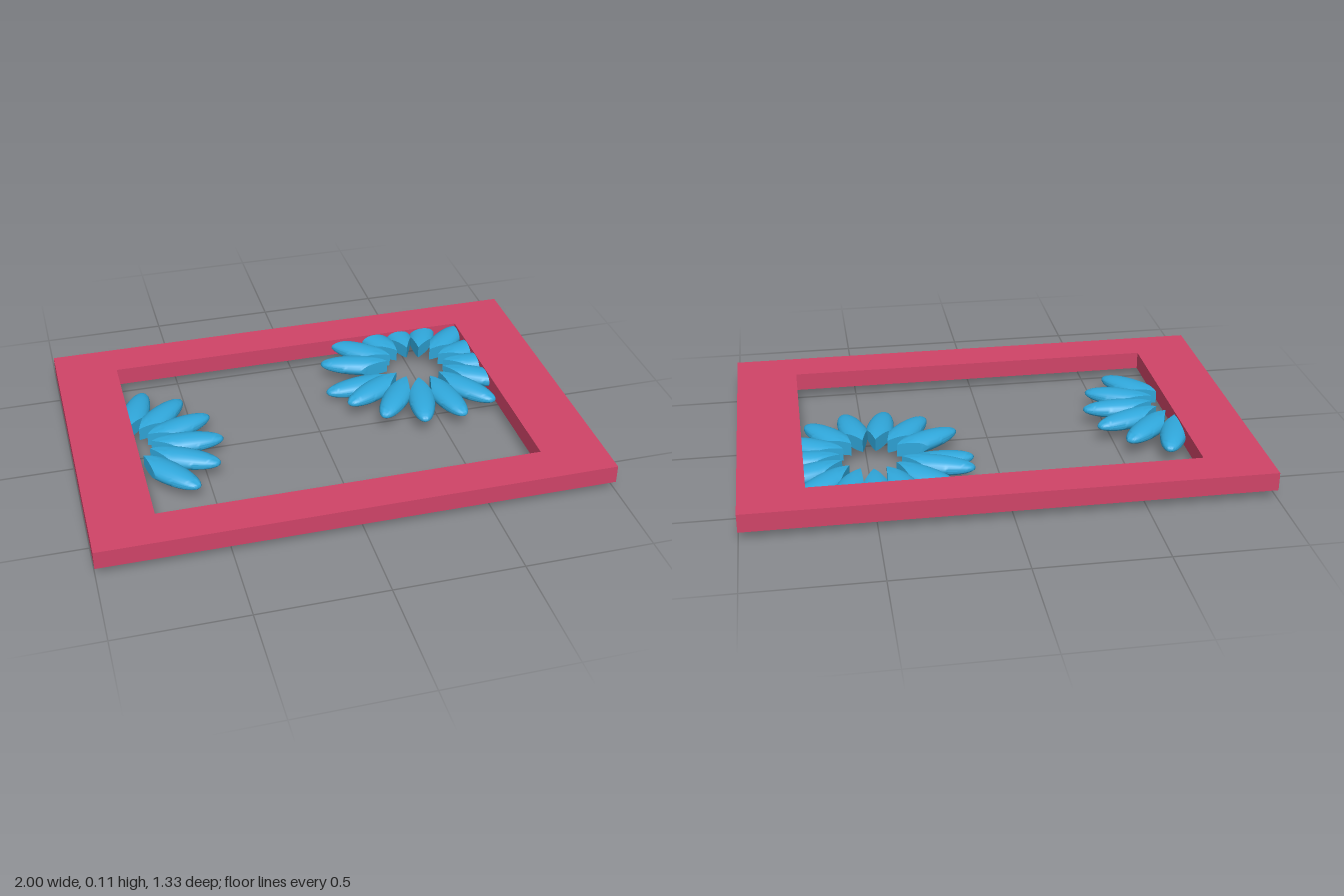
import * as THREE from 'three';
import { toCreasedNormals } from 'three/addons/utils/BufferGeometryUtils.js';

// Petal along +x: a flattened ellipsoid whose inner end is cut to a vertical wedge
function petalGeometry() {
  const inner = 0.12, outer = 0.405, mid = 0.235;
  const halfLength = outer - mid, halfWidth = 0.055, halfHeight = 0.035;
  const rings = 28, across = 10, count = 2 * (across + 1);
  const positions = [], indices = [];
  for (let i = 0; i <= rings; i++) {
    const r = inner + (outer - inner) * Math.sin((i / rings) * Math.PI / 2);
    const u = (r - mid) / halfLength;
    const round = Math.sqrt(Math.max(0, 1 - u * u));
    const width = Math.min(halfWidth * round, (r - inner) * 0.5);
    for (let j = 0; j < count; j++) {
      const top = j <= across;
      const k = top ? j : count - 1 - j;
      const z = -width * Math.cos((k / across) * Math.PI);
      const y = halfHeight * Math.sqrt(Math.max(0, round * round - (z / halfWidth) ** 2));
      positions.push(r, top ? y : -y, z);
    }
  }
  for (let i = 0; i < rings; i++) {
    for (let j = 0; j < count; j++) {
      const a = i * count + j, b = i * count + (j + 1) % count;
      indices.push(a, b, a + count, b, b + count, a + count);
    }
  }
  const geometry = new THREE.BufferGeometry();
  geometry.setAttribute('position', new THREE.Float32BufferAttribute(positions, 3));
  geometry.setIndex(indices);
  return toCreasedNormals(geometry, 0.7);
}

// Rectangular frame lying flat
function frameGeometry() {
  const shape = new THREE.Shape();
  shape.moveTo(-1, -0.665).lineTo(1, -0.665).lineTo(1, 0.665).lineTo(-1, 0.665).closePath();
  const hole = new THREE.Path();
  hole.moveTo(-0.753, -0.5).lineTo(-0.753, 0.503).lineTo(0.751, 0.503).lineTo(0.751, -0.5).closePath();
  shape.holes.push(hole);
  const geometry = new THREE.ExtrudeGeometry(shape, { depth: 0.073, bevelEnabled: false });
  geometry.rotateX(-Math.PI / 2);
  geometry.translate(0, 0.037, 0);
  return geometry;
}

export function createModel() {
  const model = new THREE.Group();
  const frameMaterial = new THREE.MeshStandardMaterial({ color: 0xd04468 });
  const petalMaterial = new THREE.MeshStandardMaterial({ color: 0x30a8dc, side: THREE.DoubleSide });

  const frame = new THREE.Mesh(frameGeometry(), frameMaterial);
  frame.name = 'frame';
  model.add(frame);

  // Flowers: petals every 24 degrees, one of them sitting lower than the rest
  const petal = petalGeometry();
  function addFlower(name, x, z, startAngle, petals, lowPetal, lowHeight) {
    const flower = new THREE.Group();
    flower.name = name;
    flower.position.set(x, 0, z);
    for (let i = 0; i < petals; i++) {
      const mesh = new THREE.Mesh(petal, petalMaterial);
      mesh.name = 'petal';
      mesh.position.y = i === lowPetal ? lowHeight : 0.074;
      mesh.rotation.y = -THREE.MathUtils.degToRad(startAngle + i * 24);
      flower.add(mesh);
    }
    model.add(flower);
  }
  addFlower('cornerFlower', 0.49, -0.258, 6, 15, 7, 0.035);
  // Only the petals that reach out of the frame's side
  addFlower('sideFlower', -0.812, 0.025, -69, 6, 0, 0.07);

  return model;
}
